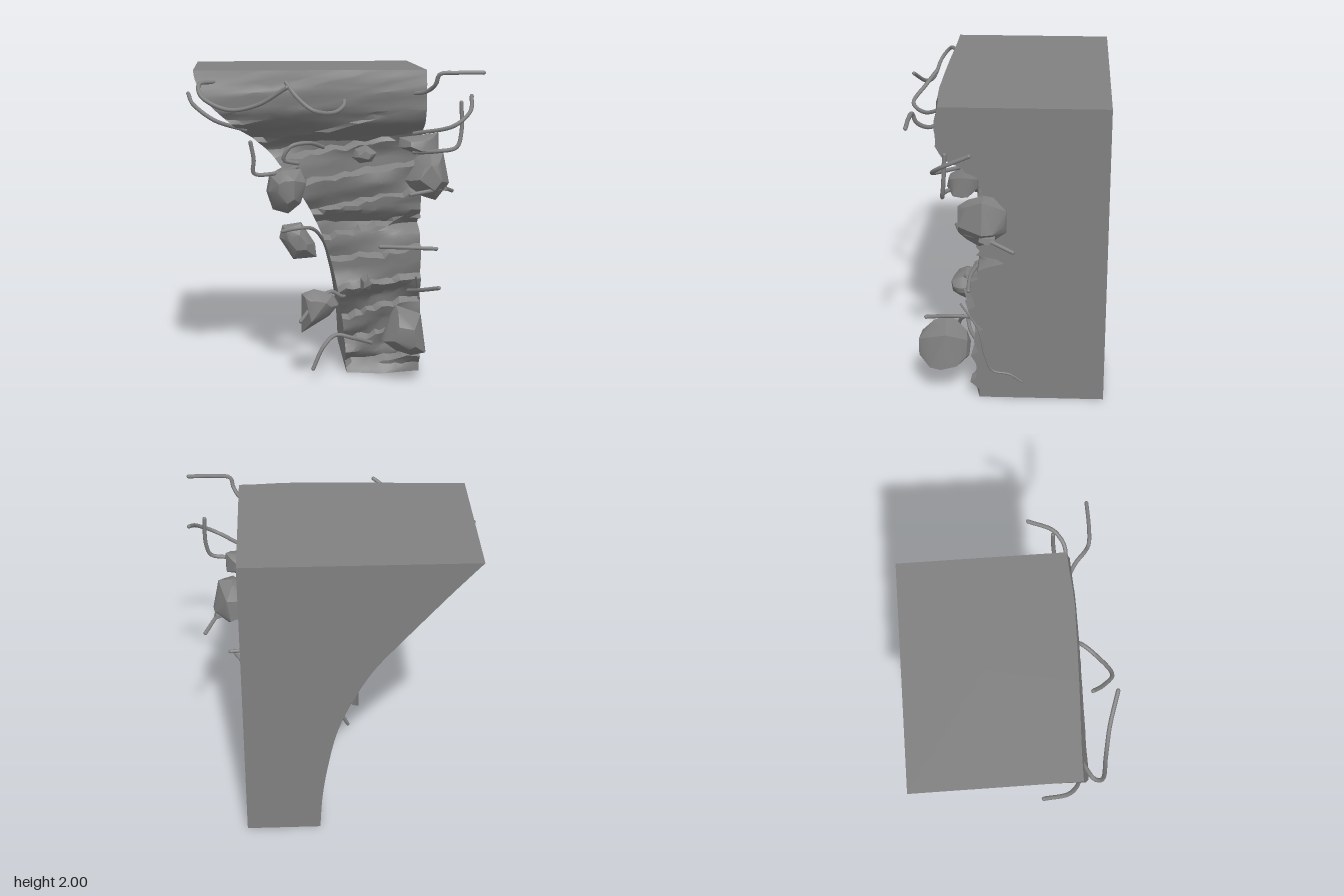
import * as THREE from 'three';
import { toCreasedNormals } from 'three/addons/utils/BufferGeometryUtils.js';
import { ConvexGeometry } from 'three/addons/geometries/ConvexGeometry.js';

const V = (x, y, z) => new THREE.Vector3(x, y, z);
const hash = (a, b) => {
  const s = Math.sin(a * 127.1 + b * 311.7) * 43758.5453;
  return s - Math.floor(s);
};
const { lerp, smoothstep } = THREE.MathUtils;

// Piecewise-linear lookup in [[key, value], ...]
function lookup(table, k) {
  for (let i = 1; i < table.length; i++) {
    const [k0, v0] = table[i - 1], [k1, v1] = table[i];
    if (k <= k1) return lerp(v0, v1, (k - k0) / (k1 - k0));
  }
  return table[table.length - 1][1];
}

// Value noise in -1..1
function noise(x, y) {
  const i = Math.floor(x), j = Math.floor(y), u = x - i, v = y - j;
  return 2 * lerp(lerp(hash(i, j), hash(i + 1, j), u), lerp(hash(i, j + 1), hash(i + 1, j + 1), u), v) - 1;
}

const RIGHT = 0.58, BACK = -0.64;
// Left edge by height: rounded lip at the front, plain arc at the back
const edgeTable = (upper) => new THREE.SplineCurve([
  [0.10, 0], [0.085, 0.25], [0.05, 0.5], [-0.01, 0.78], [-0.11, 1.03], [-0.24, 1.26], [-0.41, 1.47], ...upper,
].map(([x, y]) => new THREE.Vector2(x, y))).getPoints(80).map((p) => [p.y, p.x]);
const leftFront = edgeTable([[-0.6, 1.63], [-0.77, 1.79], [-0.85, 1.92], [-0.87, 2]]);
const leftBack = edgeTable([[-0.55, 1.635], [-0.7, 1.81], [-0.87, 2]]);
// Depth of the eroded front by height
const frontTable = [
  [0, 0.2], [0.06, 0.16], [0.13, 0.19], [0.25, 0.16], [0.4, 0.18], [0.6, 0.21], [0.75, 0.19],
  [0.9, 0.18], [1.0, 0.13], [1.08, 0.19], [1.3, 0.16], [1.45, 0.12], [1.54, 0.13],
  [1.6, 0.26], [1.66, 0.36], [1.75, 0.41], [1.86, 0.41], [2, 0.37],
];

// Layered ledges that lean slightly and fade out below the smooth top lip
function frontDepth(x, y) {
  const rough = lerp(1, 0.1, smoothstep(y, 1.55, 1.76));
  const s = y - 0.2 * x + 0.05 * noise(x * 2.2, y * 3);
  const ledge = (s * 5.5 + 10) % 1;
  const groove = 0.18 * Math.max(0, 1 - Math.abs(y - 0.98) / 0.05) * smoothstep(x, 0.3, 0.58);
  const lip = smoothstep(y, 1.7, 2) * (0.045 * smoothstep(x, -0.9, 0.2) - 0.02 * smoothstep(x, 0.25, 0.58));
  return lookup(frontTable, y) + rough * (0.06 * (ledge - 0.5) + 0.06 * noise(x * 3, s * 11)) - groove + lip;
}

// Cliff block from stacked horizontal loops
function cliffGeometry() {
  const rows = 72, cols = 12, n = cols + 3, pos = [], idx = [];
  for (let j = 0; j <= rows; j++) {
    const y = (2 * j) / rows, left = lookup(leftFront, y);
    for (let i = 0; i <= cols; i++) {
      const inner = i > 0 && i < cols && j > 0 && j < rows;
      const x = lerp(left, RIGHT, (i + (inner ? 0.6 * (hash(i, j) - 0.5) : 0)) / cols);
      pos.push(x, y + (inner ? 0.016 * (hash(j, i + 50) - 0.5) : 0), frontDepth(x, y));
    }
    pos.push(RIGHT, y, BACK, lookup(leftBack, y), y, BACK);
  }
  for (let j = 0; j < rows; j++) {
    for (let i = 0; i < n; i++) {
      const a = j * n + i, b = j * n + ((i + 1) % n);
      idx.push(a, b, b + n, a, b + n, a + n);
    }
  }
  // Top and bottom caps
  const c = pos.length / 3;
  pos.push(0.34, 0, -0.25, -0.15, 2, -0.15);
  for (let i = 0; i < n; i++) {
    const k = (i + 1) % n;
    idx.push(c, k, i, c + 1, rows * n + i, rows * n + k);
  }
  const g = new THREE.BufferGeometry();
  g.setAttribute('position', new THREE.Float32BufferAttribute(pos, 3));
  g.setIndex(idx);
  return toCreasedNormals(g, 0.6);
}

// Angular boulder: hull of a front outline repeated in layers that shrink towards both faces
function rockGeometry(outline, z, depth, seed) {
  const cx = outline.reduce((s, p) => s + p[0], 0) / outline.length;
  const cy = outline.reduce((s, p) => s + p[1], 0) / outline.length;
  const pts = [];
  [[-1, 0.5], [-0.5, 0.88], [0, 1], [0.55, 0.88], [1, 0.5]].forEach(([t, scale], k) => {
    outline.forEach(([x, y], i) => {
      const s = t === 0 ? 1 : scale * (0.8 + 0.3 * hash(i + 7 * k, seed));
      pts.push(V(cx + (x - cx) * s, cy + (y - cy) * s, z + depth * (t + 0.25 * (hash(seed, i + 9 * k) - 0.5))));
    });
  });
  return toCreasedNormals(new ConvexGeometry(pts), 0.45);
}

export function createModel() {
  const model = new THREE.Group();
  const stone = new THREE.MeshStandardMaterial({ color: 0x808080 });
  const add = (parent, name, geo) => {
    const m = new THREE.Mesh(geo, stone);
    m.name = name;
    parent.add(m);
    return m;
  };

  add(model, 'cliffBlock', cliffGeometry());

  // Boulders: outline, centre depth, half thickness
  const boulders = new THREE.Group();
  boulders.name = 'boulders';
  model.add(boulders);
  [
    [[[-0.42, 1.22], [-0.4, 1.33], [-0.32, 1.37], [-0.2, 1.36], [-0.16, 1.28], [-0.2, 1.14], [-0.28, 1.07], [-0.38, 1.1]], 0.21, 0.12],
    [[[0.48, 1.27], [0.55, 1.42], [0.64, 1.46], [0.73, 1.45], [0.77, 1.25], [0.68, 1.14], [0.55, 1.18]], 0.14, 0.14],
    [[[0.13, 1.43], [0.15, 1.48], [0.22, 1.51], [0.29, 1.46], [0.26, 1.4], [0.18, 1.39]], 0.18, 0.07],
    [[[0.42, 1.5], [0.43, 1.56], [0.58, 1.57], [0.68, 1.59], [0.68, 1.46], [0.56, 1.45]], 0.25, 0.09],
    [[[-0.34, 0.92], [-0.32, 1.0], [-0.2, 1.02], [-0.11, 0.88], [-0.1, 0.79], [-0.25, 0.78]], 0.24, 0.08],
    [[[-0.2, 0.3], [-0.2, 0.56], [-0.12, 0.59], [0, 0.56], [0.04, 0.49], [-0.02, 0.42]], 0.28, 0.1],
    [[[0.3, 0.28], [0.37, 0.45], [0.4, 0.5], [0.56, 0.44], [0.59, 0.2], [0.5, 0.17], [0.4, 0.2]], 0.395, 0.155],
    [[[0.18, 0.58], [0.18, 0.66], [0.22, 0.69], [0.25, 0.62], [0.24, 0.58]], 0.29, 0.06],
    [[[0.7, 1.2], [0.72, 1.25], [0.76, 1.23], [0.77, 1.19]], 0.1, 0.05],
  ].forEach(([outline, z, depth], i) => add(boulders, 'boulder', rockGeometry(outline, z, depth, i + 3)));

  // Exposed roots as round tubes with rounded ends
  const roots = new THREE.Group();
  roots.name = 'roots';
  model.add(roots);
  const root = (points, r = 0.013) => {
    const pts = points.map((p) => V(...p));
    const g = new THREE.Group();
    g.name = 'root';
    roots.add(g);
    add(g, 'rootStem', new THREE.TubeGeometry(new THREE.CatmullRomCurve3(pts), 32, r, 8));
    for (const p of [pts[0], pts[pts.length - 1]]) {
      add(g, 'rootTip', new THREE.SphereGeometry(r, 8, 6)).position.copy(p);
    }
  };
  // Along the top lip
  root([[-0.74, 1.93, 0.38], [-0.83, 1.92, 0.43], [-0.82, 1.85, 0.49], [-0.66, 1.77, 0.53], [-0.48, 1.8, 0.57], [-0.3, 1.91, 0.63]]);
  root([[-0.3, 1.93, 0.48], [-0.24, 1.85, 0.55], [-0.14, 1.77, 0.62], [-0.01, 1.75, 0.54], [0.06, 1.79, 0.45], [0.06, 1.84, 0.39]]);
  root([[0.44, 1.85, 0.38], [0.57, 1.87, 0.46], [0.62, 1.92, 0.52], [0.64, 1.98, 0.54], [0.75, 1.99, 0.55], [0.91, 1.99, 0.55]]);
  root([[-0.91, 1.84, 0.14], [-0.87, 1.78, 0.3], [-0.74, 1.69, 0.37], [-0.55, 1.62, 0.28]]);
  root([[0.9, 1.82, 0.19], [0.86, 1.73, 0.36], [0.75, 1.65, 0.42], [0.52, 1.59, 0.28]]);
  root([[0.81, 1.79, 0.34], [0.81, 1.6, 0.35], [0.78, 1.51, 0.36], [0.66, 1.485, 0.36], [0.52, 1.47, 0.28]]);
  // Middle
  root([[-0.52, 1.55, 0.35], [-0.5, 1.44, 0.34], [-0.5, 1.35, 0.32], [-0.38, 1.34, 0.28], [-0.2, 1.37, 0.15]]);
  root([[-0.05, 1.49, 0.13], [-0.15, 1.53, 0.24], [-0.27, 1.51, 0.29], [-0.31, 1.43, 0.28], [-0.22, 1.4, 0.24]]);
  root([[0.5, 1.2, 0.3], [0.66, 1.22, 0.25], [0.74, 1.21, 0.1], [0.82, 1.17, -0.06]]);
  root([[0.32, 0.84, 0.18], [0.5, 0.84, 0.22], [0.68, 0.83, 0.22]]);
  // Trailing down the curved wall
  root([[-0.32, 0.97, 0.29], [-0.22, 0.99, 0.3], [-0.13, 0.98, 0.25], [-0.05, 0.88, 0.14], [0, 0.72, 0], [0.035, 0.57, -0.14], [0.06, 0.43, -0.27]], 0.012);
  // Lower
  root([[0.5, 0.55, 0.2], [0.57, 0.59, 0.36], [0.66, 0.63, 0.49]]);
  root([[-0.21, 0.4, 0.38], [-0.12, 0.5, 0.33], [-0.01, 0.57, 0.28], [0.07, 0.53, 0.25], [0.11, 0.58, 0.15]]);
  root([[-0.13, 0.08, 0.36], [-0.06, 0.22, 0.33], [0.02, 0.28, 0.28], [0.14, 0.25, 0.25], [0.26, 0.2, 0.18]]);
  // Thin root creeping back along the right wall
  root([[0.54, 0.66, 0.28], [0.575, 0.5, 0.17], [0.58, 0.32, 0.13], [0.58, 0.2, 0.08], [0.58, 0.175, -0.03], [0.578, 0.12, -0.11]], 0.007);

  return model;
}
